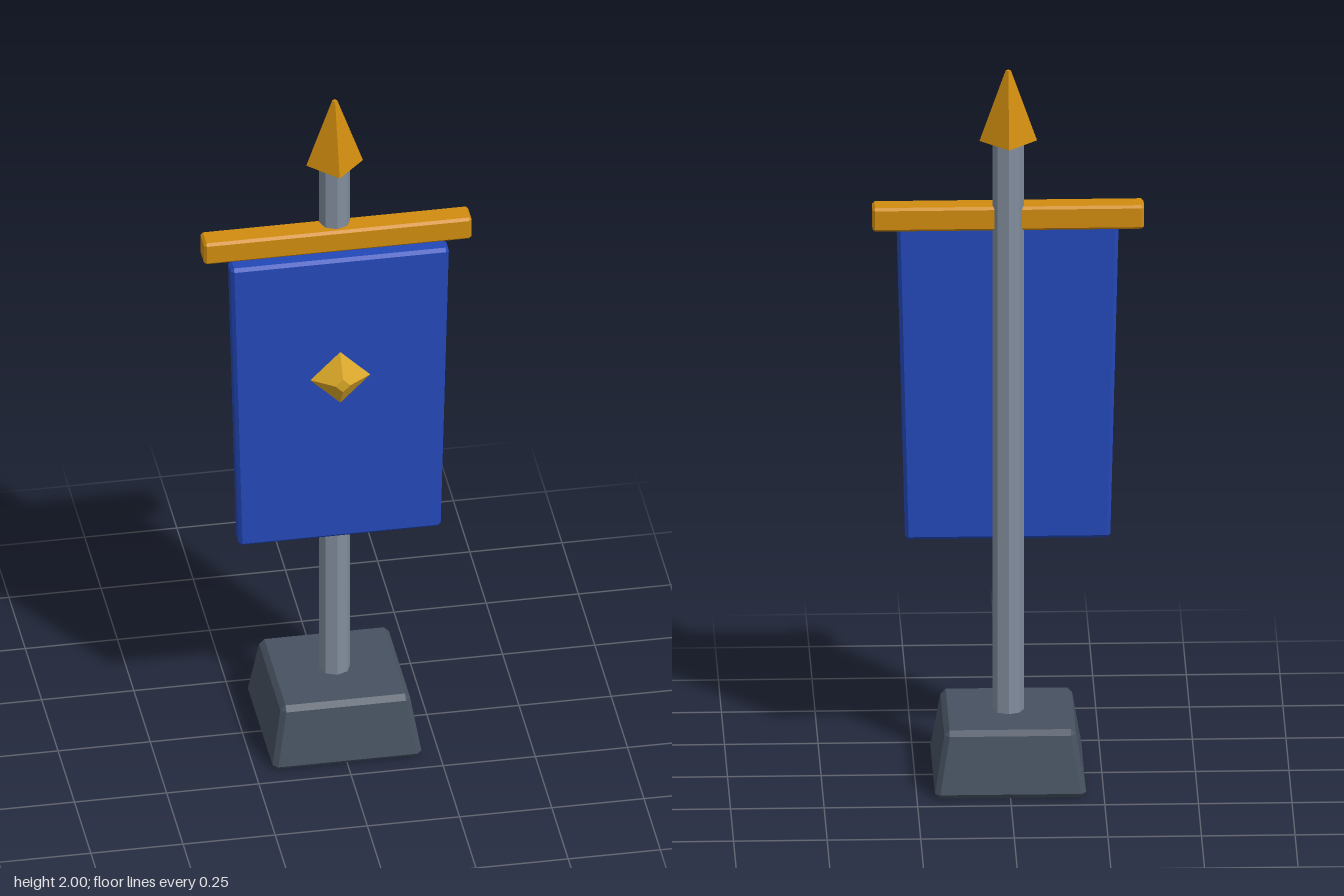
import * as THREE from 'three';
import { ConvexGeometry } from 'three/addons/geometries/ConvexGeometry.js';

const mat = (name, color) => {
  const m = new THREE.MeshStandardMaterial({ color, flatShading: true });
  m.name = name;
  return m;
};

// Box with chamfered edges whose width and depth may differ between bottom and top
function chamferBox([bx, bz], [tx, tz], height, bevel) {
  const points = [];
  for (const sx of [-1, 1]) for (const sy of [-1, 1]) for (const sz of [-1, 1]) {
    const x = sy < 0 ? bx : tx, z = sy < 0 ? bz : tz, y = height / 2;
    points.push(
      new THREE.Vector3(sx * x, sy * (y - bevel), sz * (z - bevel)),
      new THREE.Vector3(sx * (x - bevel), sy * y, sz * (z - bevel)),
      new THREE.Vector3(sx * (x - bevel), sy * (y - bevel), sz * z),
    );
  }
  return new ConvexGeometry(points);
}

export function createModel() {
  const group = new THREE.Group();
  group.name = 'bannerStand';

  const stone = mat('dark slate', 0x465160);
  const steel = mat('grey steel', 0x818d9d);
  const gold = mat('gold', 0xd08c0f);
  const paleGold = mat('pale gold', 0xd9a726);
  const cloth = mat('blue cloth', 0x2348b8);

  const add = (name, geometry, material, x, y, z) => {
    const mesh = new THREE.Mesh(geometry, material);
    mesh.name = name;
    mesh.position.set(x, y, z);
    group.add(mesh);
    return mesh;
  };

  // Base and pole
  add('base', chamferBox([0.202, 0.202], [0.176, 0.176], 0.184, 0.014), stone, 0, 0.092, 0);
  add('pole', new THREE.CylinderGeometry(0.042, 0.042, 1.66, 8), steel, 0, 0.98, 0);

  // Four-sided spear tip
  add('spearTip', new THREE.CylinderGeometry(0.007, 0.077, 0.2, 4), gold, 0, 1.9, 0);

  // Crossbar and hanging banner
  add('crossbar', chamferBox([0.363, 0.034], [0.363, 0.034], 0.067, 0.007), gold, 0, 1.581, 0.021);
  add('banner', chamferBox([0.274, 0.028], [0.296, 0.028], 0.89, 0.009), cloth, 0, 1.1, 0.058);

  // Faceted diamond emblem on the banner
  const emblem = add('emblem', new THREE.CylinderGeometry(0.02, 0.085, 0.045, 4), paleGold, 0, 1.168, 0.106);
  emblem.rotation.x = Math.PI / 2;

  return group;
}
